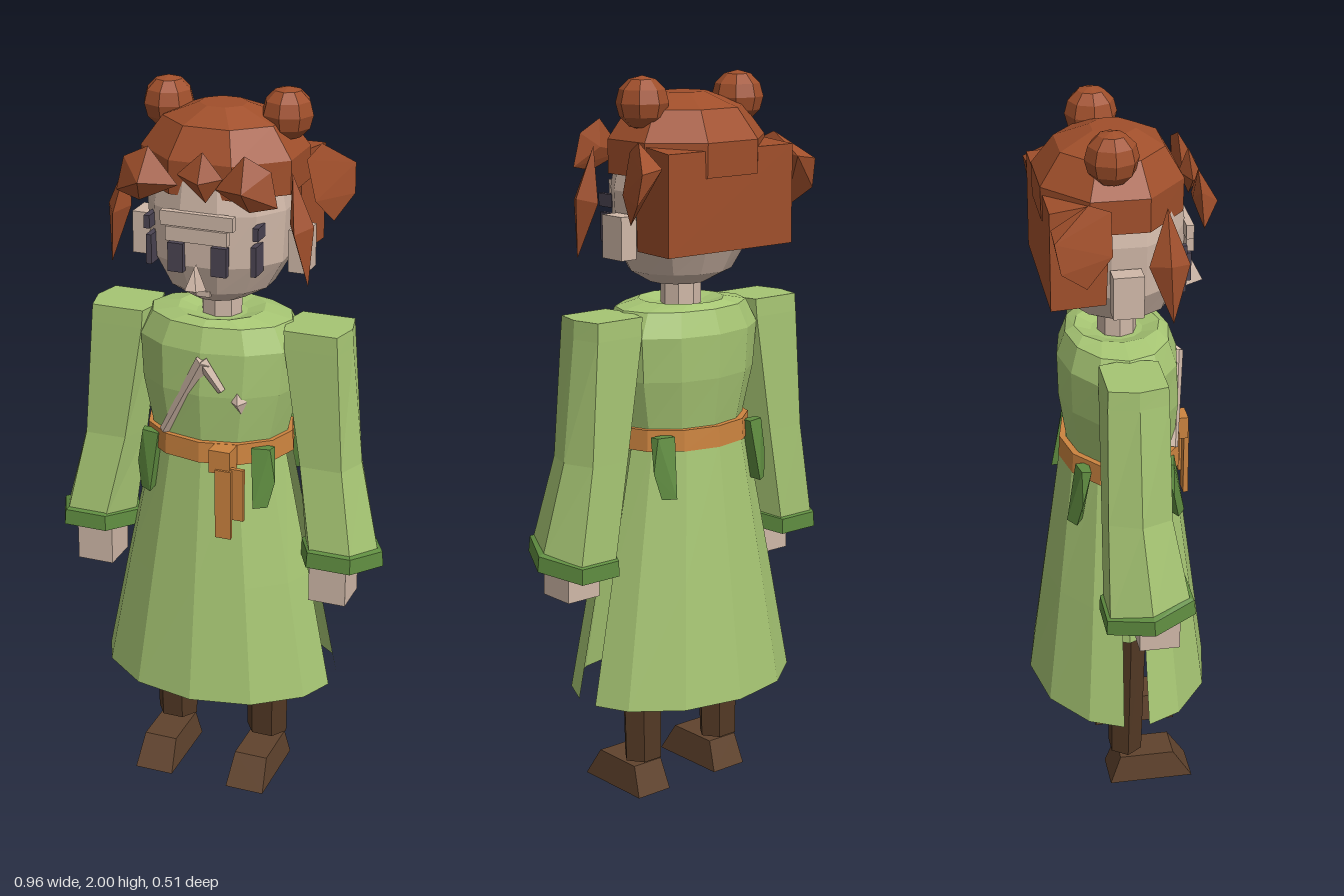
import * as THREE from 'three';
import { ConvexGeometry } from 'three/addons/geometries/ConvexGeometry.js';

const mat = (name, color, side = THREE.FrontSide) =>
  new THREE.MeshStandardMaterial({ name, color, side, flatShading: true });
const V = (p) => new THREE.Vector3(...p);

// Elliptical ring, counter-clockwise from above, starting at the front.
function ring(y, rx, rz, cz = 0, n = 12, phase = 0, cx = 0) {
  return Array.from({ length: n }, (_, i) => {
    const a = (i / n) * Math.PI * 2 + phase;
    return [cx + rx * Math.sin(a), y, cz + rz * Math.cos(a)];
  });
}

// Six-cornered sleeve section with points to the sides; f sets how boxy it is.
function hex(y, cx, rx, cz, rz, f, tilt = 0) {
  return [[-f, 1], [f, 1], [1, 0], [f, -1], [-f, -1], [-1, 0]]
    .map(([u, v]) => [cx + u * rx, y + tilt * v, cz + v * rz]);
}

// Skin a stack of sections, listed bottom to top.
function loft(rings, { wrap = true, bottom = false, top = false } = {}) {
  const out = [];
  const n = rings[0].length;
  for (let r = 0; r + 1 < rings.length; r++) {
    for (let i = 0; i < (wrap ? n : n - 1); i++) {
      const j = (i + 1) % n;
      const a = rings[r][i], b = rings[r][j], c = rings[r + 1][j], d = rings[r + 1][i];
      out.push(...a, ...b, ...c, ...a, ...c, ...d);
    }
  }
  for (let i = 1; i + 1 < n; i++) {
    const lo = rings[0], hi = rings[rings.length - 1];
    if (bottom) out.push(...lo[0], ...lo[i + 1], ...lo[i]);
    if (top) out.push(...hi[0], ...hi[i], ...hi[i + 1]);
  }
  const g = new THREE.BufferGeometry();
  g.setAttribute('position', new THREE.Float32BufferAttribute(out, 3));
  g.computeVertexNormals();
  return g;
}

const hull = (points, s = 1) => new ConvexGeometry(points.map(([x, y, z]) => V([x * s, y, z])));
const box = (w, h, d, x, y, z) => new THREE.BoxGeometry(w, h, d).translate(x, y, z);

export function createModel() {
  const model = new THREE.Group();
  model.name = 'robedFigure';
  const skin = mat('skin', 0xd0b8a8);
  const hair = mat('hair', 0xa04f2b);
  const robe = mat('robeGreen', 0xa6c573, THREE.DoubleSide);
  const trim = mat('trimGreen', 0x5f8c40, THREE.DoubleSide);
  const sash = mat('sashOrange', 0xcb833f);
  const trousers = mat('trouserBrown', 0x523824);
  const shoe = mat('shoeBrown', 0x60432d);
  const eye = mat('eyeDark', 0x4b4452);
  const add = (name, geometry, material) => {
    const m = new THREE.Mesh(geometry, material);
    m.name = name;
    model.add(m);
    return m;
  };

  // Robe body with a stepped shoulder and an inner layer seen through the slits
  add('torso', loft([
    ring(1.0, 0.19, 0.15, 0.01), ring(1.07, 0.195, 0.15, 0.01), ring(1.2, 0.225, 0.165, 0.005),
    ring(1.32, 0.235, 0.163), ring(1.385, 0.2, 0.14), ring(1.4, 0.12, 0.115),
    ring(1.385, 0.07, 0.07),
  ], { top: true }), robe);
  add('innerTunic', loft([ring(0.51, 0.22, 0.12), ring(1.0, 0.17, 0.12)]), robe);

  // Skirt: front and back panels, open at the sides
  for (const [name, turn] of [['skirtFront', 0], ['skirtBack', Math.PI]]) {
    const arc = (y, rx, rz) => [-82, -60, -30, 0, 30, 60, 82].map((deg) => {
      const a = THREE.MathUtils.degToRad(deg) + turn;
      return [rx * Math.sin(a), y, rz * Math.cos(a)];
    });
    add(name, loft([arc(0.31, 0.34, 0.255), arc(0.65, 0.272, 0.21), arc(1.02, 0.195, 0.16)],
      { wrap: false }), robe);
  }

  // Belt with knot and hanging ends
  add('belt', loft([
    ring(1.01, 0.185, 0.15, 0.008), ring(1.01, 0.212, 0.17, 0.008),
    ring(1.068, 0.208, 0.167, 0.008), ring(1.068, 0.185, 0.15, 0.008),
  ]), sash);
  add('beltKnot', box(0.06, 0.065, 0.055, 0.072, 1.035, 0.183), sash);
  add('beltEndLong', box(0.045, 0.2, 0.014, 0.085, 0.915, 0.21), sash);
  add('beltEndShort', box(0.045, 0.15, 0.012, 0.117, 0.945, 0.2), sash);

  // Tapered tabs tucked under the belt
  for (const s of [-1, 1]) for (const f of [-1, 1]) {
    add('beltTab', hull([
      [0.135, 1.055, 0.135 * f], [0.19, 1.055, 0.1 * f], [0.135, 1.055, 0.1 * f],
      [0.185, 1.055, 0.125 * f], [0.15, 0.89, 0.162 * f], [0.185, 0.89, 0.14 * f],
      [0.15, 0.89, 0.12 * f], [0.2, 0.96, 0.125 * f],
    ], s), trim);
  }

  // Pale branch across the chest
  const twig = (name, a, b, r0, r1) => {
    const from = V(a), dir = V(b).sub(from);
    const m = add(name, new THREE.CylinderGeometry(r1, r0, dir.length(), 5), skin);
    m.position.copy(from).addScaledVector(dir, 0.5);
    m.quaternion.setFromUnitVectors(new THREE.Vector3(0, 1, 0), dir.normalize());
  };
  twig('chestBranch', [-0.115, 1.07, 0.135], [0.01, 1.3, 0.163], 0.014, 0.022);
  twig('chestBranchSide', [0.005, 1.3, 0.163], [0.06, 1.22, 0.158], 0.018, 0.012);
  add('chestBud', hull([[0.085, 1.19, 0.155], [0.1, 1.215, 0.15], [0.125, 1.19, 0.14],
    [0.11, 1.155, 0.145], [0.105, 1.185, 0.165]]), skin);

  for (const s of [-1, 1]) {
    // Wide sleeve, slanted cuff and hand
    add('sleeve', loft([
      hex(0.745, 0.36 * s, 0.105, 0.02, 0.108, 0.55, 0.02), hex(1.0, 0.315 * s, 0.09, 0, 0.085, 0.65),
      hex(1.33, 0.278 * s, 0.092, -0.003, 0.08, 0.8), hex(1.38, 0.275 * s, 0.092, -0.003, 0.078, 0.8),
    ], { top: true }), robe);
    add('cuff', loft([
      hex(0.76, 0.36 * s, 0.1, 0.02, 0.1, 0.52, 0.02), hex(0.71, 0.36 * s, 0.105, 0.022, 0.106, 0.52, 0.02),
      hex(0.71, 0.36 * s, 0.12, 0.022, 0.12, 0.52, 0.02), hex(0.753, 0.36 * s, 0.117, 0.02, 0.117, 0.52, 0.02),
      hex(0.76, 0.36 * s, 0.1, 0.02, 0.1, 0.52, 0.02),
    ]), trim);
    add('hand', box(0.105, 0.2, 0.11, 0.347 * s, 0.71, 0.05), skin);

    // Leg and wedge shoe
    add('leg', loft([
      ring(0.1, 0.06, 0.05, 0, 6, Math.PI / 6, 0.14 * s), ring(0.6, 0.068, 0.055, 0.008, 6, Math.PI / 6, 0.14 * s),
    ], { bottom: true, top: true }), trousers);
    const corners = [];
    for (const u of [-1, 1]) {
      corners.push([0.14 + u * 0.056, 0, -0.05], [0.14 + u * 0.056, 0, 0.19],
        [0.14 + u * 0.048, 0.085, -0.02], [0.14 + u * 0.048, 0.085, 0.135]);
    }
    add('shoe', hull(corners, s), shoe);
  }

  // Neck and faceted head
  add('neck', loft([ring(1.37, 0.057, 0.053, 0, 8), ring(1.47, 0.057, 0.053, 0, 8)]), skin);
  const tw = Math.PI / 12;
  add('head', loft([
    ring(1.445, 0.08, 0.08, 0.015, 12, tw), ring(1.48, 0.145, 0.135, 0.005, 12, tw),
    ring(1.56, 0.192, 0.172, 0, 12, tw), ring(1.7, 0.2, 0.176, 0, 12, tw),
    ring(1.85, 0.17, 0.155, 0, 12, tw),
  ], { bottom: true, top: true }), skin);

  // Raised face pieces
  add('browUpper', box(0.2, 0.038, 0.02, 0, 1.69, 0.175), skin);
  add('browLower', box(0.17, 0.038, 0.02, 0, 1.65, 0.178), skin);
  add('nose', hull([[0, 1.575, 0.185], [-0.022, 1.5, 0.17], [0.022, 1.5, 0.17],
    [-0.016, 1.515, 0.228], [0.016, 1.515, 0.228], [0, 1.57, 0.2]]), skin);
  add('mouth', box(0.04, 0.015, 0.01, 0, 1.478, 0.135), skin);
  for (const s of [-1, 1]) {
    add('eye', box(0.042, 0.078, 0.02, 0.06 * s, 1.585, 0.173), eye);
    add('outerEye', box(0.015, 0.08, 0.055, 0.145 * s, 1.588, 0.128), eye);
    add('outerBrow', box(0.016, 0.035, 0.055, 0.15 * s, 1.662, 0.128), eye);
    add('ear', box(0.05, 0.115, 0.08, 0.22 * s, 1.585, -0.01), skin);
  }

  // Hair cap and square back block
  const oct = (y, rx, rz, cz) => ring(y, rx, rz, cz, 8, Math.PI / 8);
  add('hairCap', loft([
    oct(1.745, 0.225, 0.198, -0.025), oct(1.835, 0.225, 0.2, -0.025),
    oct(1.915, 0.165, 0.145, -0.02), oct(1.953, 0.065, 0.06, -0.01),
  ], { bottom: true, top: true }), hair);
  add('hairBack', hull([-1, 1].flatMap((s) => [
    [0.215 * s, 1.55, -0.205], [0.2 * s, 1.55, -0.06], [0.215 * s, 1.815, -0.205], [0.2 * s, 1.83, -0.05],
  ])), hair);

  for (const s of [-1, 1]) {
    // Buns, flared back tufts and hanging side locks
    add('hairBun', new THREE.SphereGeometry(0.07, 8, 6).translate(0.165 * s, 1.932, -0.04), hair);
    add('backTuft', hull([
      [0.215, 1.81, -0.05], [0.235, 1.84, -0.11], [0.3, 1.77, -0.205], [0.235, 1.78, -0.205],
      [0.305, 1.69, -0.19], [0.27, 1.63, -0.12], [0.24, 1.7, -0.05],
    ], s), hair);
    add('sideLock', hull([
      [0.225, 1.815, 0.09], [0.275, 1.52, 0.1], [0.22, 1.68, 0.09], [0.285, 1.68, 0.09],
      [0.25, 1.67, 0.04], [0.25, 1.67, 0.145],
    ], s), hair);
    // Outer fringe spikes
    add('fringeSide', hull([
      [0.13, 1.875, 0.185], [0.22, 1.75, 0.185], [0.05, 1.78, 0.185], [0.14, 1.79, 0.235],
      [0.15, 1.735, 0.2], [0.2, 1.84, 0.18], [0.14, 1.8, 0.17],
    ], s), hair);
  }
  add('fringeMiddle', hull([
    [0.02, 1.875, 0.19], [-0.05, 1.81, 0.19], [0.075, 1.81, 0.19], [0.03, 1.745, 0.195],
    [0.02, 1.8, 0.225], [0.02, 1.81, 0.165],
  ]), hair);

  return model;
}
